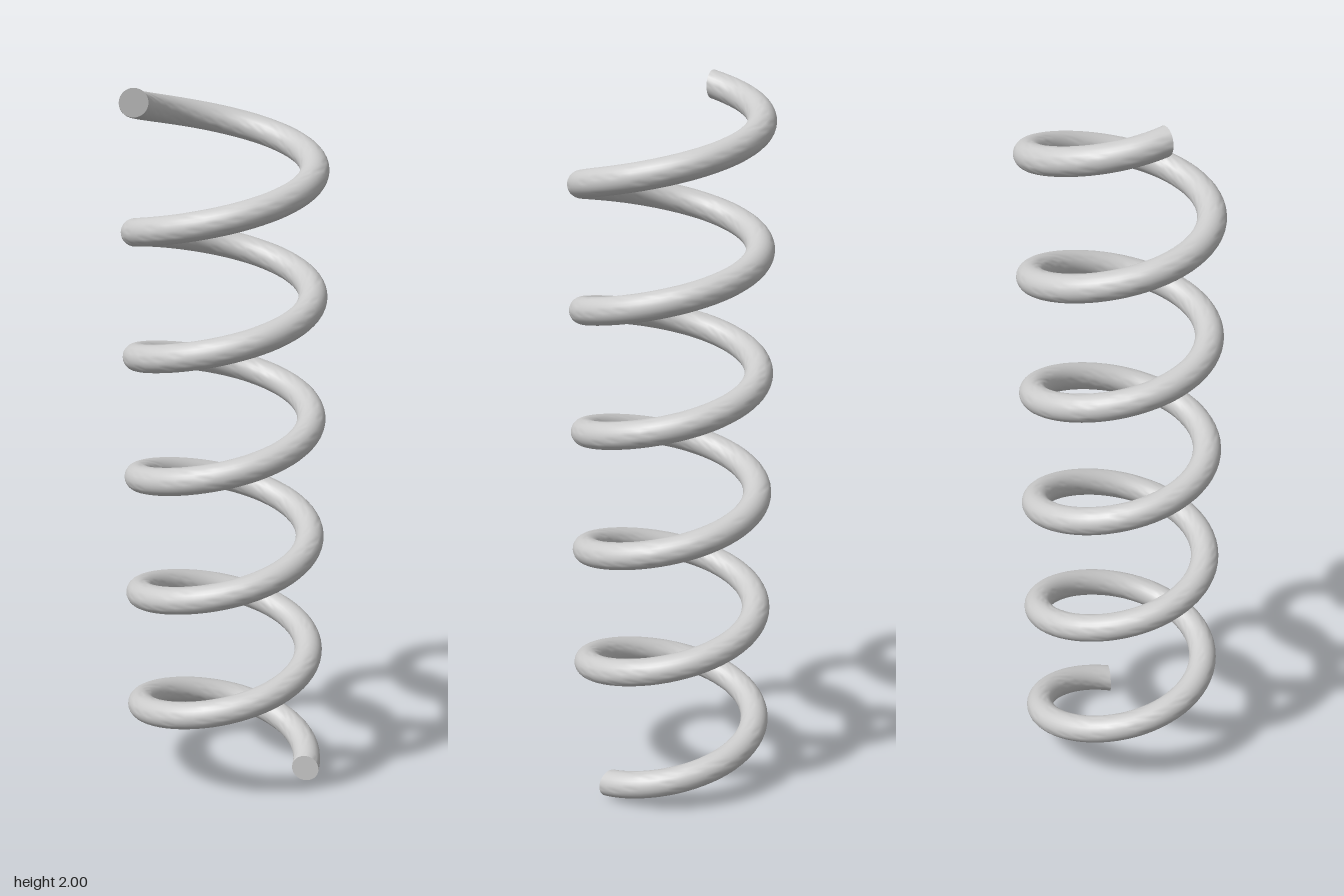
import * as THREE from 'three';
import { mergeVertices, toCreasedNormals } from 'three/addons/utils/BufferGeometryUtils.js';

const COIL_RADIUS = 0.239;
const WIRE_RADIUS = 0.039;
const TURNS = 5.553;
const HEIGHT = 2;

// Coil: a capped rod wound into a helix, its section staying in a vertical radial plane
function coilGeometry() {
  let geometry = new THREE.CylinderGeometry(WIRE_RADIUS, WIRE_RADIUS, 1, 28, Math.round(TURNS * 64));
  geometry.translate(0, 0.5, 0);
  const pos = geometry.attributes.position;
  for (let i = 0; i < pos.count; i++) {
    const along = pos.getY(i);
    const angle = along * TURNS * Math.PI * 2;
    const radius = COIL_RADIUS + pos.getX(i);
    const y = WIRE_RADIUS + along * (HEIGHT - 2 * WIRE_RADIUS) + pos.getZ(i);
    pos.setXYZ(i, radius * Math.cos(angle), y, -radius * Math.sin(angle));
  }
  // Smooth along the wire, sharp at the two cut ends
  geometry.deleteAttribute('normal');
  geometry.deleteAttribute('uv');
  geometry = mergeVertices(geometry, 1e-5);
  return toCreasedNormals(geometry, 0.9);
}

export function createModel() {
  const model = new THREE.Group();
  model.name = 'spring';
  const coil = new THREE.Mesh(coilGeometry(), new THREE.MeshStandardMaterial({ color: 0xcccccc }));
  coil.name = 'coil';
  model.add(coil);
  return model;
}
